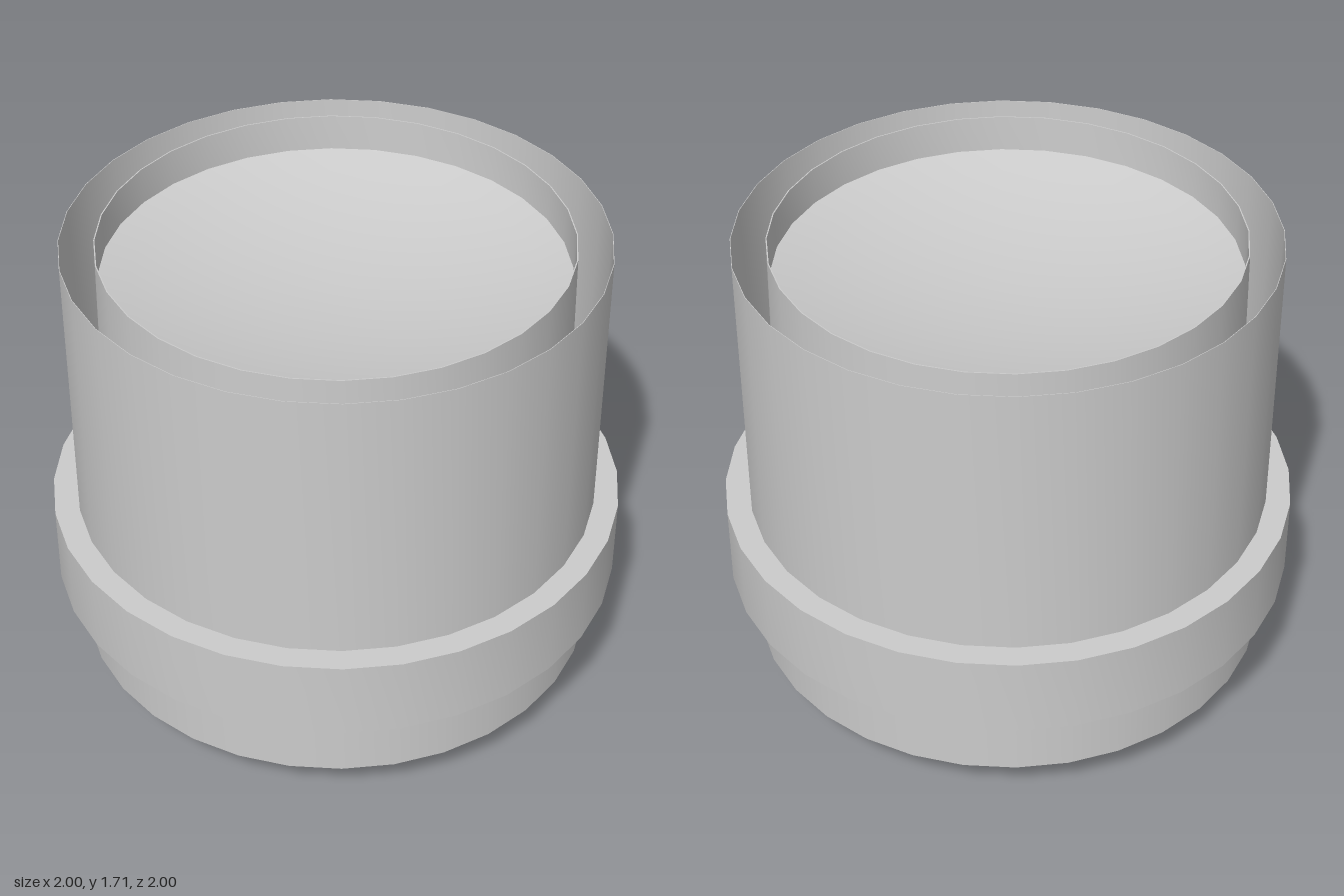
import * as THREE from 'three';
import { toCreasedNormals } from 'three/addons/utils/BufferGeometryUtils.js';

const SIDES = 32;

export function createModel() {
  const model = new THREE.Group();
  const material = new THREE.MeshStandardMaterial({ color: 0xcccccc });

  // Turned part: profile of [radius, height] pairs, running up the outside
  function turned(name, profile) {
    const points = profile.map(([r, y]) => new THREE.Vector2(r, y));
    const geometry = toCreasedNormals(new THREE.LatheGeometry(points, SIDES), 0.6);
    const mesh = new THREE.Mesh(geometry, material);
    mesh.name = name;
    model.add(mesh);
  }

  // Rounded base: flat disc with an elliptical fillet
  const base = [[0, 0]];
  for (let i = 0; i <= 6; i++) {
    const a = (i / 6) * Math.PI / 2;
    base.push([0.63 + 0.16 * Math.sin(a), 0.14 * (1 - Math.cos(a))]);
  }
  turned('base', base);

  // Outer sleeve: chamfered foot, straight outside, thin rim, tapered inside and groove floor
  turned('sleeve', [
    [0.78, 0.135], [0.885, 0.135], [0.914, 0.162], [0.914, 1.705],
    [0.912, 1.705], [0.885, 0.17], [0.81, 0.17],
  ]);

  // Collar around the lower sleeve
  turned('collar', [[0.9, 0.417], [1, 0.417], [1, 0.705], [0.9, 0.705]]);

  // Inner cup, standing free of the sleeve, with a lip above the dish
  turned('innerCup', [[0.82, 0.17], [0.797, 1.705], [0.793, 1.705], [0.79, 1.575]]);

  // Shallow concave dish recessed below the cup's lip
  const dish = [];
  for (let i = 0; i <= 8; i++) {
    const t = 1 - i / 8;
    dish.push([0.79 * t, 1.575 - 0.12 * (1 - t * t)]);
  }
  turned('dish', dish);

  return model;
}
